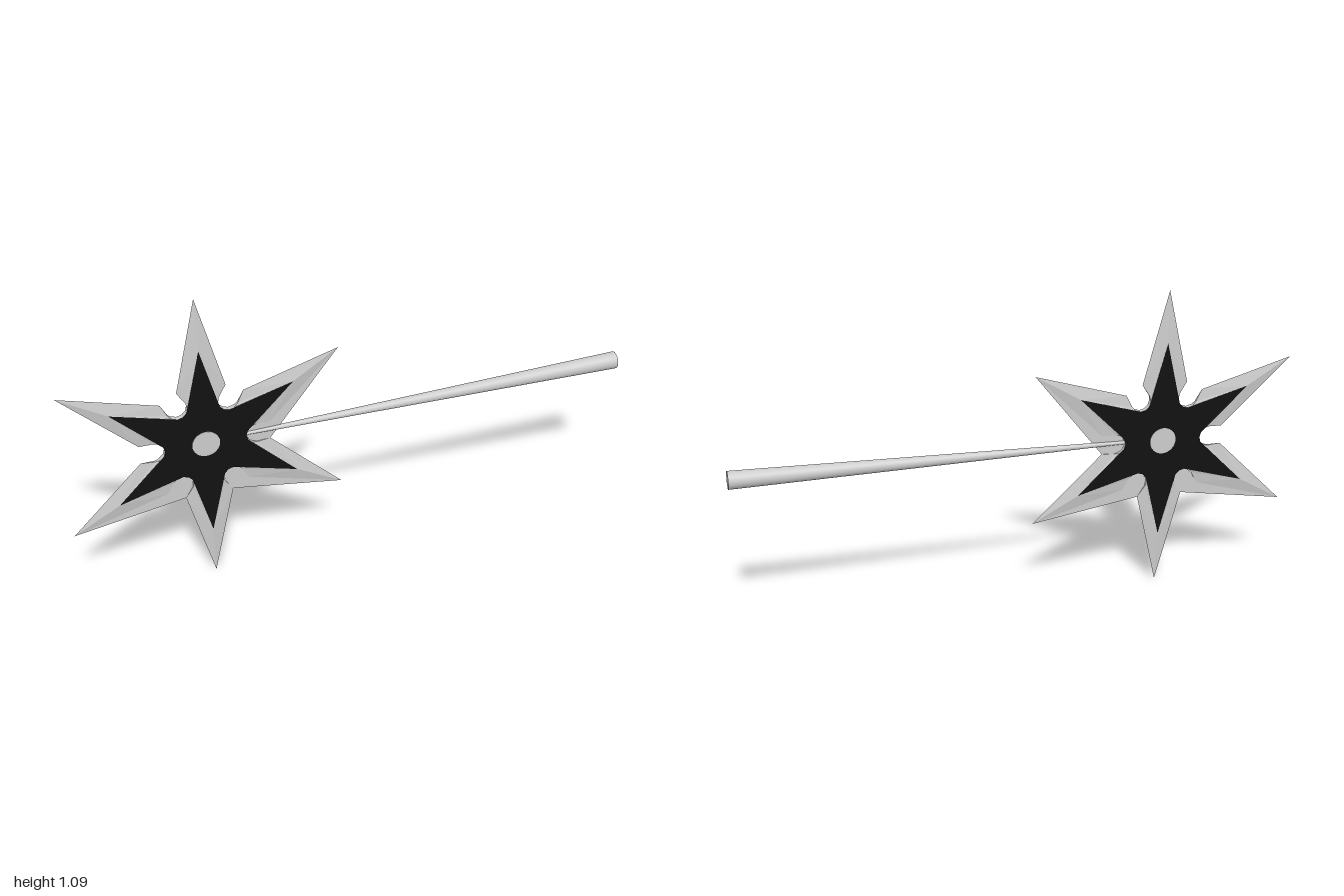
import * as THREE from 'three';

const H = 0.0095;               // half thickness of the star
const SLOT = 0.036, SLOT_R = 0.176; // notch half width and distance from hub
const TURN = Math.PI / 180;     // slight twist of the star
const D = [Math.cos(Math.PI / 6), 0.5];   // direction of a notch, seen from its blade
const N = [0.5, -Math.cos(Math.PI / 6)];  // from the notch axis toward the blade

const slotPoint = (along, across, z) =>
  [D[0] * along + N[0] * across, D[1] * along + N[1] * across, z];
const arcPoint = (deg, z, side = 1) => {
  const a = deg * Math.PI / 180;
  return slotPoint(SLOT_R - SLOT * Math.cos(a), side * SLOT * Math.sin(a), z);
};

// outline of half a blade: tip, shoulder, then down into the rounded notch
const TIP = [0.547, 0, 0];
const FLAT_TIP = [0.36, 0, H];
const SHOULDER = slotPoint(0.2245, 0.0335, 0);
const ARC = [arcPoint(90, H * 0.45), arcPoint(60, H * 0.75), arcPoint(30, H), arcPoint(0, H)];

function meshFrom(name, tris, material) {
  const geo = new THREE.BufferGeometry();
  geo.setAttribute('position', new THREE.Float32BufferAttribute(tris.flat(2), 3));
  geo.computeVertexNormals();
  const mesh = new THREE.Mesh(geo, material);
  mesh.name = name;
  return mesh;
}

// repeat triangles of a half blade on both sides of its axis and on both faces
function mirrored(tris) {
  const out = [];
  for (const sy of [1, -1]) for (const sz of [1, -1])
    for (const t of tris) {
      const m = t.map(([x, y, z]) => [x, y * sy, z * sz]);
      out.push(sy * sz > 0 ? m : m.reverse());
    }
  return out;
}

export function createModel() {
  const grey = new THREE.MeshStandardMaterial({ color: 0xcccccc });
  const greyThin = new THREE.MeshStandardMaterial({ color: 0xcccccc, side: THREE.DoubleSide });
  const black = new THREE.MeshStandardMaterial({ color: 0x111111 });
  const model = new THREE.Group();
  const star = new THREE.Group();
  star.name = 'throwingStar';
  star.position.set(-0.52, 0.552, 0);
  model.add(star);

  // sharpened bevel and notch walls of one half blade
  const bevel = [];
  const rim = [TIP, SHOULDER, ...ARC.slice(0, 3)];
  for (let i = 0; i < rim.length - 1; i++) bevel.push([FLAT_TIP, rim[i], rim[i + 1]]);
  const wall = [SHOULDER, ...ARC];
  for (let i = 0; i < wall.length - 1; i++) {
    const p = wall[i], q = wall[i + 1];
    const p0 = [p[0], p[1], 0], q0 = [q[0], q[1], 0];
    bevel.push([p0, q0, q]);
    if (i > 0) bevel.push([p0, q, p]);
  }
  // flat dark face of one half blade
  const face = [[[0, 0, H], FLAT_TIP, ARC[2]], [[0, 0, H], ARC[2], ARC[3]]];

  for (let k = 0; k < 6; k++) {
    const blade = new THREE.Group();
    blade.name = 'blade';
    blade.rotation.z = Math.PI / 6 + k * Math.PI / 3 + TURN;
    blade.add(meshFrom('bladeEdge', mirrored(bevel), grey));
    blade.add(meshFrom('bladeFace', mirrored(face), black));
    star.add(blade);
  }

  // thin webs closing three of the notches, from a tip to the next shoulder
  const webOutline = [TIP, SHOULDER, ARC[0], arcPoint(45, 0), ARC[3], arcPoint(45, 0, -1),
    arcPoint(90, 0, -1), slotPoint(0.2245, -0.0335, 0)];
  for (const [angle, side] of [[30, -1], [-30, -1], [-150, 1]]) {
    const shape = new THREE.Shape(webOutline.map(([x, y]) => new THREE.Vector2(x, y * side)));
    const web = new THREE.Mesh(new THREE.ShapeGeometry(shape), greyThin);
    web.name = 'web';
    web.rotation.z = angle * Math.PI / 180 + TURN;
    star.add(web);
  }

  // round hub showing on both faces
  const hub = new THREE.Mesh(new THREE.CylinderGeometry(0.048, 0.048, 0.022, 32), grey);
  hub.name = 'hub';
  hub.rotation.x = Math.PI / 2;
  star.add(hub);

  // tapered rod running out to the side
  const from = new THREE.Vector3(-0.385, 0.558, 0), to = new THREE.Vector3(1, 0.583, 0);
  const rod = new THREE.Mesh(
    new THREE.CylinderGeometry(0.031, 0.006, from.distanceTo(to), 32), grey);
  rod.name = 'rod';
  rod.position.copy(from).add(to).multiplyScalar(0.5);
  rod.quaternion.setFromUnitVectors(new THREE.Vector3(0, 1, 0), to.clone().sub(from).normalize());
  model.add(rod);

  return model;
}
